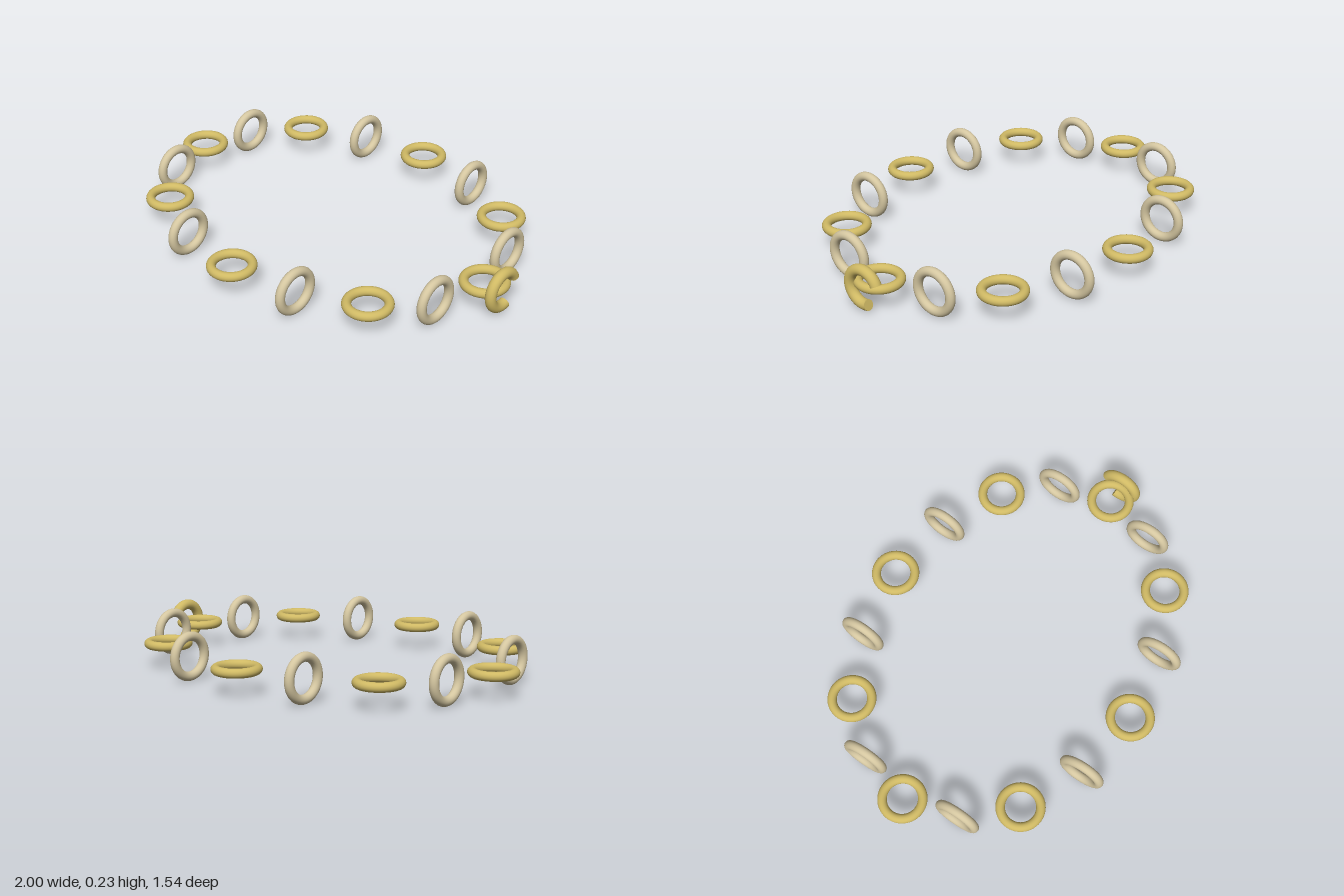
import * as THREE from 'three';

export function createModel() {
  const group = new THREE.Group();
  const gold = new THREE.MeshStandardMaterial({ color: 0xcfb964 });
  gold.name = 'gold';
  const paleGold = new THREE.MeshStandardMaterial({ color: 0xd4c6a0 });
  paleGold.name = 'pale gold';

  const midY = 0.113, offsetX = -0.004;

  // Links around an oval, alternately lying flat and standing upright
  const linkGeometry = new THREE.TorusGeometry(0.0915, 0.0215, 20, 56);
  const count = 16;
  for (let i = 0; i < count; i++) {
    const a = (i / count) * Math.PI * 2;
    const flat = i % 2 === 0;
    const link = new THREE.Mesh(linkGeometry, flat ? gold : paleGold);
    link.name = flat ? 'flatLink' : 'uprightLink';
    link.position.set(offsetX + 0.885 * Math.cos(a), midY, 0.656 * Math.sin(a));
    if (flat) link.rotation.x = Math.PI / 2;
    else link.rotation.y = Math.PI / 2;
    group.add(link);
  }

  // Open C-shaped clasp, standing upright at the left end
  const clasp = new THREE.Group();
  clasp.name = 'clasp';
  const R = 0.081, r = 0.025, start = 0.42, arc = 4.6;
  const hook = new THREE.Mesh(new THREE.TorusGeometry(R, r, 20, 48, arc), gold);
  hook.name = 'claspHook';
  hook.rotation.z = start;
  clasp.add(hook);

  // Flat ends of the clasp, facing into the gap
  const capGeometry = new THREE.CircleGeometry(r, 20);
  for (const [angle, dir] of [[start, -1], [start + arc, 1]]) {
    const cap = new THREE.Mesh(capGeometry, gold);
    cap.name = 'claspEnd';
    cap.position.set(R * Math.cos(angle), R * Math.sin(angle), 0);
    cap.lookAt(
      cap.position.x - dir * Math.sin(angle),
      cap.position.y + dir * Math.cos(angle),
      0
    );
    clasp.add(cap);
  }
  clasp.rotation.y = Math.PI / 2;
  clasp.position.set(0.975, midY, 0);
  group.add(clasp);

  return group;
}
